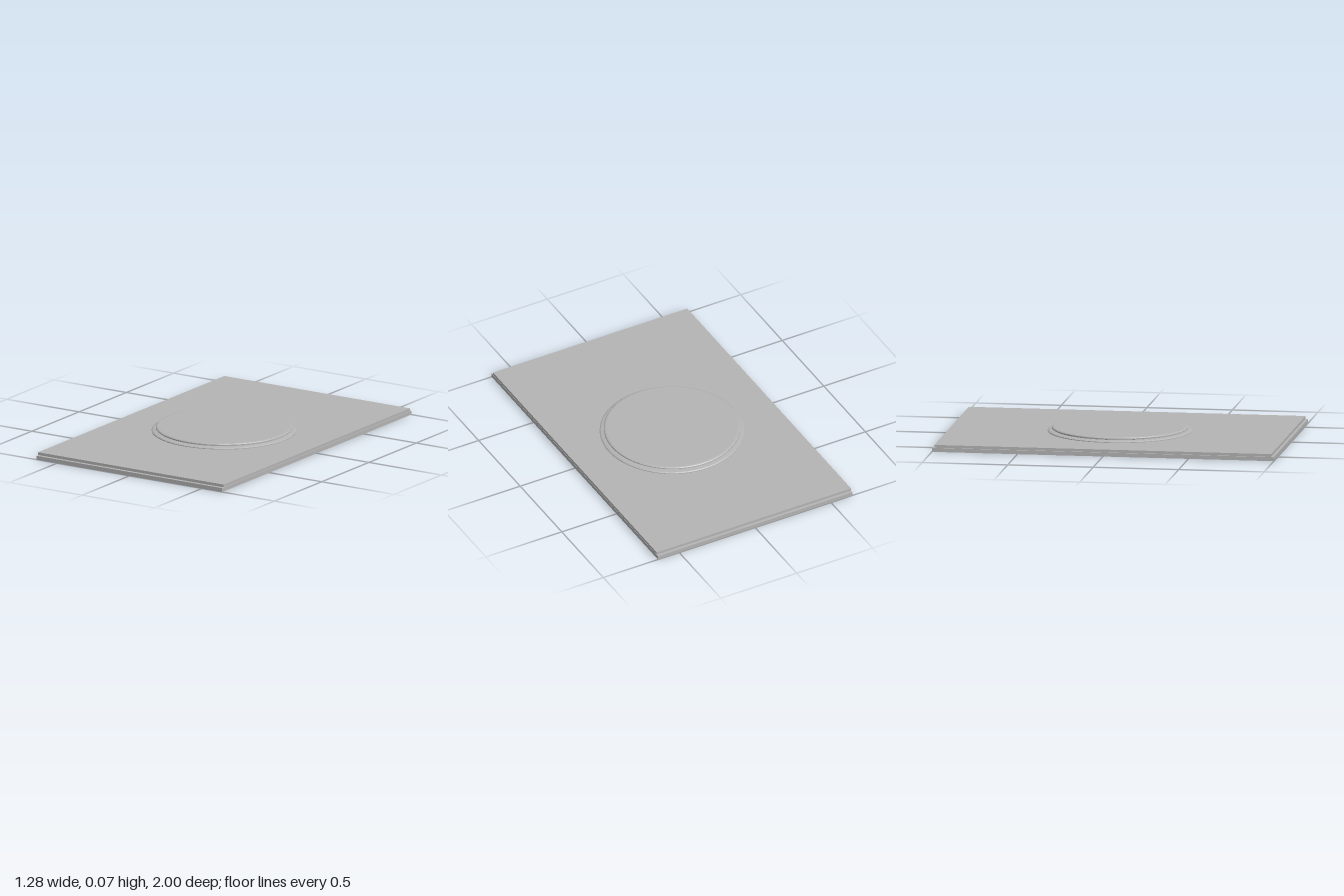
import * as THREE from 'three';

export function createModel() {
  const model = new THREE.Group();
  const gray = new THREE.MeshStandardMaterial({ color: 0xb4b4b4 });
  gray.name = 'plain gray';

  const add = (name, geometry, y = 0) => {
    const mesh = new THREE.Mesh(geometry, gray);
    mesh.name = name;
    mesh.position.y = y;
    model.add(mesh);
    return mesh;
  };
  const box = (name, w, d, y0, y1) =>
    add(name, new THREE.BoxGeometry(w, y1 - y0, d), (y0 + y1) / 2);

  const W = 1.28, L = 2;

  // Rectangle path around a centre, for the frame and its pockets
  const rect = (path, cx, cy, w, h) => {
    path.moveTo(cx - w / 2, cy - h / 2);
    path.lineTo(cx + w / 2, cy - h / 2);
    path.lineTo(cx + w / 2, cy + h / 2);
    path.lineTo(cx - w / 2, cy + h / 2);
    path.closePath();
    return path;
  };

  // Waffle grid of ribs, open from below
  const cols = 6, rows = 9, margin = 0.012, rib = 0.045;
  const px = (W - 2 * margin) / cols, pz = (L - 2 * margin) / rows;
  const grid = rect(new THREE.Shape(), 0, 0, W, L);
  for (let i = 0; i < cols; i++) {
    for (let j = 0; j < rows; j++) {
      const cx = (i - (cols - 1) / 2) * px, cz = (j - (rows - 1) / 2) * pz;
      grid.holes.push(rect(new THREE.Path(), cx, cz, px - rib, pz - rib));
    }
  }
  const ribs = new THREE.ExtrudeGeometry(grid, { depth: 0.017, bevelEnabled: false });
  ribs.rotateX(-Math.PI / 2);
  add('ribGrid', ribs);

  // Floor above the pockets, shadow gap and top sheet
  box('baseSheet', W, L, 0.017, 0.023);
  box('gapCore', W - 0.02, L - 0.04, 0.023, 0.026);
  box('topSheet', W, 1.97, 0.026, 0.041);

  // Thin circular rib crossing the underside pockets
  const hoop = [[0.408, 0.018], [0.408, 0.001], [0.42, 0.001], [0.42, 0.018]];

  // Stepped round platform: flange, narrow waist and rounded rim
  const platform = [
    [0.418, 0.04], [0.418, 0.045], [0.412, 0.049], [0.396, 0.052],
    [0.386, 0.053], [0.386, 0.056], [0.394, 0.058], [0.394, 0.063],
    [0.39, 0.067], [0.381, 0.069], [0, 0.069],
  ];

  // Each profile segment is its own band, which keeps the steps crisp
  const turn = (name, profile) => {
    const group = new THREE.Group();
    group.name = name;
    for (let i = 0; i < profile.length - 1; i++) {
      const pts = [profile[i], profile[i + 1]].map(([r, y]) => new THREE.Vector2(r, y));
      const band = new THREE.Mesh(new THREE.LatheGeometry(pts, 96), gray);
      band.name = name + 'Band';
      group.add(band);
    }
    model.add(group);
  };
  turn('undersideHoop', hoop);
  turn('roundPlatform', platform);

  return model;
}
